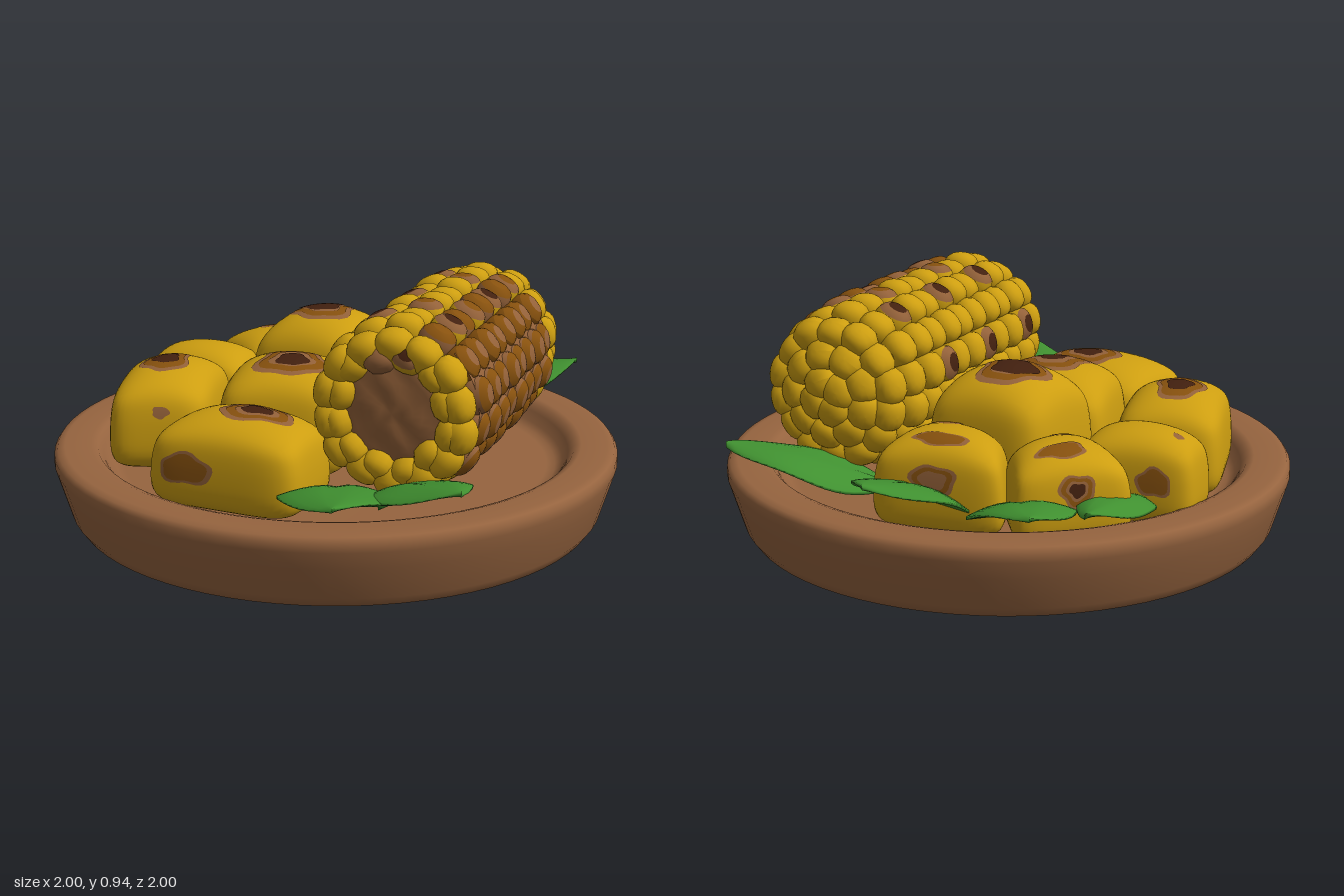
import * as THREE from 'three';
import { mergeGeometries, mergeVertices } from 'three/addons/utils/BufferGeometryUtils.js';

const mat = (name, color, side = THREE.FrontSide) => {
  const m = new THREE.MeshStandardMaterial({ color, side });
  m.name = name;
  return m;
};

// weld a geometry so that it shades smoothly
function smooth(g) {
  g.deleteAttribute('uv');
  g.deleteAttribute('normal');
  const m = mergeVertices(g, 1e-4);
  m.computeVertexNormals();
  return m;
}

// move every vertex by a rule
function deform(g, rule) {
  const p = g.attributes.position, v = new THREE.Vector3();
  for (let i = 0; i < p.count; i++) {
    rule(v.fromBufferAttribute(p, i));
    p.setXYZ(i, v.x, v.y, v.z);
  }
  return g;
}

// push a point onto a rounded box
const roundOff = (v, n) => v.divideScalar(
  Math.pow(Math.abs(v.x) ** n + Math.abs(v.y) ** n + Math.abs(v.z) ** n, 1 / n));

export function createModel() {
  const clay = mat('clay', 0x96643f);
  const yellow = mat('cornYellow', 0xcd9e10);
  const green = mat('leafGreen', 0x409030);
  const toast = mat('toastedBrown', 0x936139, THREE.DoubleSide);
  const ochre = mat('ochre', 0x87510e, THREE.DoubleSide);
  const char = mat('charDark', 0x42200f, THREE.DoubleSide);

  const model = new THREE.Group();
  model.name = 'cornPlate';
  const add = (name, geo, material, parent = model) => {
    const m = new THREE.Mesh(geo, material);
    m.name = name;
    parent.add(m);
    return m;
  };
  const group = (name) => {
    const g = new THREE.Group();
    g.name = name;
    model.add(g);
    return g;
  };

  // plate with foot ring and raised rim
  const profile = [[0, 0.015], [0.61, 0.015], [0.62, 0.003], [0.645, 0], [0.662, 0.012], [0.665, 0.05],
    [0.68, 0.068], [0.71, 0.077], [0.88, 0.078], [0.92, 0.09], [0.945, 0.125], [0.98, 0.24], [0.998, 0.3],
    [0.997, 0.33], [0.985, 0.347], [0.96, 0.353], [0.87, 0.353], [0.845, 0.345], [0.825, 0.322],
    [0.805, 0.29], [0.78, 0.273], [0.75, 0.27], [0, 0.27]].map(([x, y]) => new THREE.Vector2(x, y));
  add('plate', new THREE.LatheGeometry(profile, 72), clay);

  // corn chunks: corners are back left, back right, front right, front left in x, z
  const chunkPoint = (top, corners, v, lift = 1) => {
    roundOff(v, 5.5).multiplyScalar(lift);
    const { x: u, y: h, z: w } = v;
    const k = 1.075 - 0.07 * h - 0.06 * h * h;
    const mix = (i) => {
      const q = corners.map((p) => p[i]);
      const mid = (q[0] + q[1] + q[2] + q[3]) / 4;
      const val = ((1 - u) * (1 - w) * q[0] + (1 + u) * (1 - w) * q[1]
        + (1 + u) * (1 + w) * q[2] + (1 - u) * (1 + w) * q[3]) / 4;
      return mid + (val - mid) * k;
    };
    const dome = 1 - 0.11 * (u * u + w * w) * Math.max(0, h);
    return v.set(mix(0), 0.27 + (top - 0.27) * (h + 1) / 2 * dome, mix(1));
  };
  const faces = {
    top: (a, b) => new THREE.Vector3(a, 1, b),
    front: (a, b) => new THREE.Vector3(a, b, 1),
    back: (a, b) => new THREE.Vector3(a, b, -1),
  };
  const rings = [[1, toast], [0.82, ochre], [0.58, toast], [0.42, char]];
  // a chunk and its scorch marks, given as face, centre, radii, number of rings (0 makes a dark core)
  const chunk = (name, top, corners, ...spots) => {
    const g = group(name);
    add('chunkBody', smooth(deform(new THREE.BoxGeometry(2, 2, 2, 16, 16, 16),
      (v) => chunkPoint(top, corners, v))), yellow, g);
    for (const [face, ca, cb, ra, rb, n] of spots) {
      // an uneven disc laid just over one face
      const disc = (part, s, lift, material) => add(part, smooth(
        deform(new THREE.RingGeometry(0.001, 1, 28, 5), (v) => {
          const t = Math.atan2(v.y, v.x);
          const k = s * (1 + 0.1 * Math.sin(3 * t + ca * 9) + 0.07 * Math.sin(5 * t + cb * 7));
          v.copy(chunkPoint(top, corners, faces[face](ca + v.x * ra * k, cb + v.y * rb * k), lift));
        })), material, g);
      if (n === 0) disc('scorchCore', 1, 1.04, char);
      rings.slice(0, n).forEach(([s, m], j) => disc('scorchMark', s, 1.012 + j * 0.009, m));
    }
  };
  chunk('backLeftChunk', 0.58, [[-0.69, -0.48], [-0.39, -0.72], [-0.24, -0.5], [-0.4, -0.23]],
    ['top', 0.13, -0.48, 0.5, 0.3, 2], ['top', -0.2, 0.68, 0.26, 0.24, 2], ['back', 0, 0.3, 0.3, 0.42, 4]);
  chunk('backChunk', 0.6, [[-0.31, -0.69], [0.13, -0.75], [0.1, -0.41], [-0.22, -0.45]],
    ['top', 0, -0.6, 0.5, 0.24, 2], ['top', 0.25, 0.52, 0.38, 0.34, 2], ['back', 0, 0.2, 0.34, 0.4, 3]);
  chunk('sideChunk', 0.58, [[-0.8, -0.31], [-0.43, -0.37], [-0.41, -0.07], [-0.79, -0.08]],
    ['top', -0.72, -0.2, 0.12, 0.14, 1], ['back', -0.4, 0.05, 0.3, 0.36, 2]);
  chunk('tallChunk', 0.74, [[-0.32, -0.46], [0.08, -0.46], [0.06, -0.05], [-0.37, -0.08]],
    ['top', -0.1, -0.08, 0.6, 0.66, 3], ['top', -0.15, -0.1, 0.38, 0.34, 0]);
  chunk('frontSideChunk', 0.615, [[-0.79, -0.01], [-0.45, -0.09], [-0.36, 0.33], [-0.67, 0.45]],
    ['top', -0.08, -0.05, 0.52, 0.58, 2], ['top', -0.08, -0.05, 0.28, 0.27, 0],
    ['front', 0.55, -0.05, 0.2, 0.16, 2], ['front', 0.1, 0.35, 0.17, 0.15, 1]);
  chunk('middleChunk', 0.66, [[-0.38, -0.08], [0.08, -0.1], [0.1, 0.26], [-0.3, 0.35]],
    ['top', 0.06, 0.15, 0.64, 0.64, 3], ['top', 0.08, 0.22, 0.27, 0.27, 0]);
  chunk('frontChunk', 0.585, [[-0.33, 0.31], [0.13, 0.38], [0.12, 0.71], [-0.4, 0.69]],
    ['top', 0.17, -0.1, 0.58, 0.54, 4], ['front', -0.4, 0, 0.36, 0.38, 2]);

  // corn cob lying along z, with kernels gathered by colour
  const cob = group('cornCob');
  cob.position.set(0.4, 0.635, 0);
  // slice of a squarish kernel, in twelfths from its tip to its root
  const kernelSlice = (from, to) => {
    const g = deform(new THREE.SphereGeometry(1, 12, to - from, 0, Math.PI * 2,
      from * Math.PI / 12, (to - from) * Math.PI / 12), (v) => roundOff(v, 2.5));
    g.computeVertexNormals();
    return g;
  };
  const whole = kernelSlice(0, 12), tip = kernelSlice(0, 2), ring = kernelSlice(2, 4), root = kernelSlice(4, 12);
  const looks = {
    plain: [[whole, yellow]],
    toasted: [[tip, toast], [ring, ochre], [root, toast]],
    glazed: [[tip, toast], [ring, ochre], [root, ochre]],
    browned: [[tip, ochre], [ring, ochre], [root, toast]],
    tipped: [[tip, ochre], [ring, toast], [root, yellow]],
    burnt: [[tip, char], [ring, toast], [root, yellow]],
    crusted: [[whole, toast]],
  };
  const buckets = new Map([[yellow, []], [toast, []], [ochre, []], [char, []]]);
  const kernel = (a, r, z, tilt, size, look) => {
    const tangent = new THREE.Vector3(Math.cos(a), -Math.sin(a), 0);
    const out = new THREE.Vector3(Math.sin(a) * Math.cos(tilt), Math.cos(a) * Math.cos(tilt), Math.sin(tilt));
    const m = new THREE.Matrix4().makeBasis(tangent, out, tangent.clone().cross(out))
      .setPosition(r * Math.sin(a), r * Math.cos(a), z).scale(new THREE.Vector3(...size));
    for (const [s, material] of looks[look]) buckets.get(material).push(s.clone().applyMatrix4(m));
  };
  const rows = 14;
  for (let i = 0; i <= 10; i++) {
    const z = 0.5 - i * 0.1;
    const r = i === 0 ? 0.225 : i === 10 ? 0.205 : i === 9 ? 0.232 : 0.245;
    const tilt = i === 0 ? 0.35 : i === 10 ? -0.45 : i === 9 ? -0.12 : 0;
    for (let j = 0; j < rows; j++) {
      const mid = i >= 1 && i <= 8;
      let look = 'plain';
      if (mid && j >= 2 && j <= 5) look = j === 2 ? 'glazed' : 'toasted';
      else if (mid && j === 1) look = ['tipped', 'browned', 'burnt', 'browned'][i % 4];
      else if (mid && (j === 13 || j === 11) && (i + j) % 3 === 0) look = 'burnt';
      else if (mid && j === 0 && i % 4 === 3) look = 'tipped';
      const wobble = 0.006 * Math.sin(i * 2.3 + j * 3.7);
      kernel(j * Math.PI * 2 / rows, r + wobble, z, tilt, [0.064, 0.056, 0.056], look);
    }
  }
  // kernels curling over the cut front end
  for (let j = 0; j < 12; j++)
    kernel((j + 0.5) * Math.PI / 6, 0.193 + 0.01 * Math.sin(j * 2.7), 0.505, 0.95, [0.058, 0.05, 0.05],
      j === 0 ? 'burnt' : j === 11 ? 'crusted' : 'plain');
  // kernels closing the back end
  for (const [n, r, z, tilt] of [[9, 0.135, -0.535, -1], [4, 0.05, -0.555, -1.35]])
    for (let j = 0; j < n; j++) kernel((j + 0.3) * Math.PI * 2 / n, r, z, tilt, [0.062, 0.05, 0.058], 'plain');
  for (const [material, list] of buckets) add(material.name + 'Kernels', mergeGeometries(list), material, cob);

  // cob core, the toasted skin between the scorched kernels, and the lumpy cut end
  const core = add('cobCore', new THREE.CylinderGeometry(0.225, 0.2, 1.0, 28), toast, cob);
  core.rotation.x = Math.PI / 2;
  core.position.z = -0.01;
  const skin = add('toastedSkin', new THREE.CylinderGeometry(0.272, 0.272, 0.8, 20, 1, true, 0.8, 1.6), toast, cob);
  skin.rotation.x = Math.PI / 2;
  skin.position.z = 0.05;
  add('cutEnd', smooth(deform(new THREE.SphereGeometry(1, 28, 16).rotateX(Math.PI / 2), (v) => {
    const k = 0.19;
    v.set(v.x * k, v.y * k, 0.5 + v.z * 0.025 + 0.006 * Math.sin(v.x * 9) * Math.sin(v.y * 8));
  })), toast, cob);

  // leaves: base, tip, half width
  const leaves = [
    [[0.2, 0.32, 0.48], [0.38, 0.465, 0.99], 0.185],
    [[0.34, 0.32, 0.48], [0.73, 0.5, 0.8], 0.17],
    [[0.2, 0.32, -0.5], [0.67, 0.49, -0.78], 0.17],
    [[-0.06, 0.32, -0.56], [0.01, 0.51, -1.0], 0.19],
    [[-0.29, 0.32, -0.53], [-0.56, 0.49, -0.98], 0.17],
    [[-0.62, 0.32, -0.25], [-0.63, 0.43, -0.73], 0.11],
  ];
  leaves.forEach(([base, tipPoint, width], i) => {
    const from = new THREE.Vector3(...base), along = new THREE.Vector3(...tipPoint).sub(from);
    const side = new THREE.Vector3(along.z, 0, -along.x).normalize();
    const geo = deform(new THREE.BoxGeometry(2, 2, 1, 10, 1, 18), (v) => {
      const t = v.z + 0.5, s = v.x;
      const half = width * Math.pow(Math.max(0, Math.sin(Math.PI * Math.pow(t, 0.85))), 0.75) + 0.004;
      const thick = 0.028 * (1 - 0.8 * s * s) * (1 - 0.7 * t * t);
      const rise = (0.03 - 0.025 * s * s) * Math.sin(Math.PI * t)
        - 0.012 * Math.exp(-s * s * 40) * (1 - t) + 0.008 * Math.sin(t * 9 + i) * s;
      const y = v.y * thick + rise;
      v.copy(from).addScaledVector(along, t).addScaledVector(side, s * half);
      v.y += y;
    });
    add('leaf' + (i + 1), smooth(geo), green);
  });

  return model;
}
